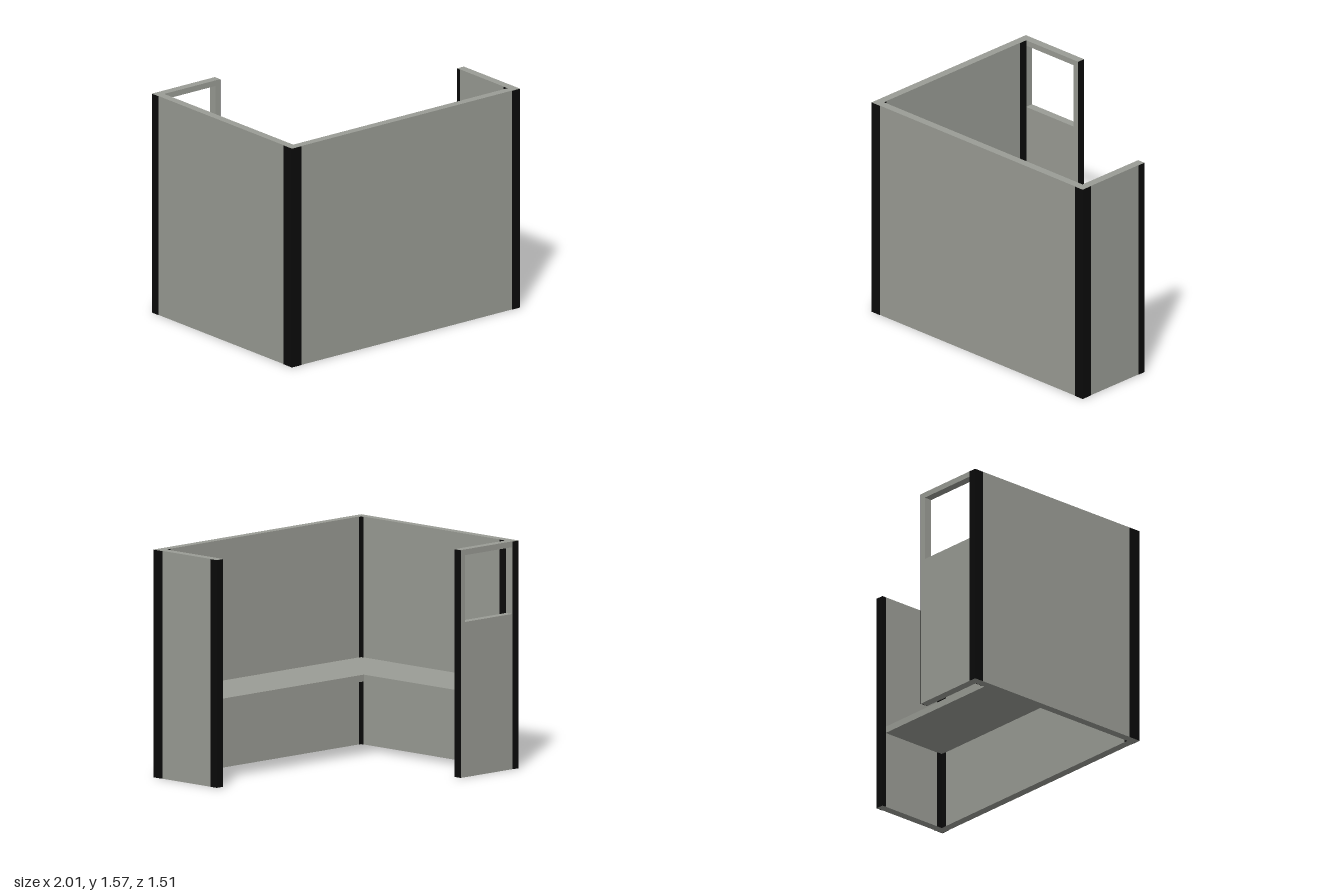
import * as THREE from 'three';

const H = 1.57;   // wall height
const T = 0.058;  // wall thickness
const X = 1, Z = 0.75;
const XI = X - T, ZI = Z - T; // inner faces
const P = 0.003;  // plate thickness of the corner trim

export function createModel() {
  const group = new THREE.Group();
  const panel = new THREE.MeshStandardMaterial({ color: 0x9b9d96 });
  panel.name = 'panelGrey';
  const trim = new THREE.MeshStandardMaterial({ color: 0x0a0a0a });
  trim.name = 'trimBlack';

  const add = (name, geometry, material) => {
    const mesh = new THREE.Mesh(geometry, material);
    mesh.name = name;
    group.add(mesh);
    return mesh;
  };
  // Box given by its extents
  const box = (name, material, x0, x1, y0, y1, z0, z1) =>
    add(name, new THREE.BoxGeometry(x1 - x0, y1 - y0, z1 - z0), material)
      .position.set((x0 + x1) / 2, (y0 + y1) / 2, (z0 + z1) / 2);
  const outline = (points) => new THREE.Shape(points.map(([a, b]) => new THREE.Vector2(a, b)));

  // Walls
  box('frontWall', panel, -X, X, 0, H, ZI, Z);
  box('longSideWall', panel, -X, -XI, 0, H, -Z, ZI);
  box('shortSideWall', panel, XI, X, 0, H, 0.15, ZI);

  // Back wall, its window opening reaching the corner of the side wall
  const backShape = outline([
    [-XI, 0], [-0.45, 0], [-0.45, H], [-XI, H],
    [-XI, 1.53], [-0.49, 1.53], [-0.49, 1.07], [-XI, 1.07],
  ]);
  const backGeometry = new THREE.ExtrudeGeometry(backShape, { depth: T, bevelEnabled: false });
  backGeometry.translate(0, 0, -Z);
  add('backWindowWall', backGeometry, panel);

  // L-shaped desk top; shape y becomes -z
  const deskShape = outline([
    [-XI, -ZI], [XI, -ZI], [XI, -0.18], [-0.45, -0.18], [-0.45, ZI], [-XI, ZI],
  ]);
  const deskGeometry = new THREE.ExtrudeGeometry(deskShape, { depth: 0.047, bevelEnabled: false });
  deskGeometry.rotateX(-Math.PI / 2);
  deskGeometry.translate(0, 0.553, 0);
  add('desk', deskGeometry, panel);

  // Vertical trim plates facing along x: [face x, direction, z0, z1]
  const sideTrim = [
    [-X, -1, 0.66, Z], [-X, -1, -Z, -0.68],
    [X, 1, 0.67, Z], [X, 1, 0.15, 0.208],
    [-0.45, 1, -Z, -ZI],
    [-XI, 1, -ZI, -0.635], [-XI, 1, 0.67, ZI],
    [XI, -1, 0.65, ZI], [XI, -1, 0.15, 0.18],
  ];
  for (const [x, d, z0, z1] of sideTrim) {
    box('sideTrim', trim, Math.min(x, x + d * P), Math.max(x, x + d * P), 0, H - 0.002, z0, z1);
  }

  // Vertical trim plates facing along z: [face z, direction, x0, x1]
  const endTrim = [
    [Z, 1, -X, -0.92], [Z, 1, 0.93, X],
    [-Z, -1, -X, -0.945], [0.15, -1, XI, X],
    [ZI, -1, 0.90, XI], [ZI, -1, -XI, -0.92],
  ];
  for (const [z, d, x0, x1] of endTrim) {
    box('endTrim', trim, x0, x1, 0, H - 0.002, Math.min(z, z + d * P), Math.max(z, z + d * P));
  }

  return group;
}
